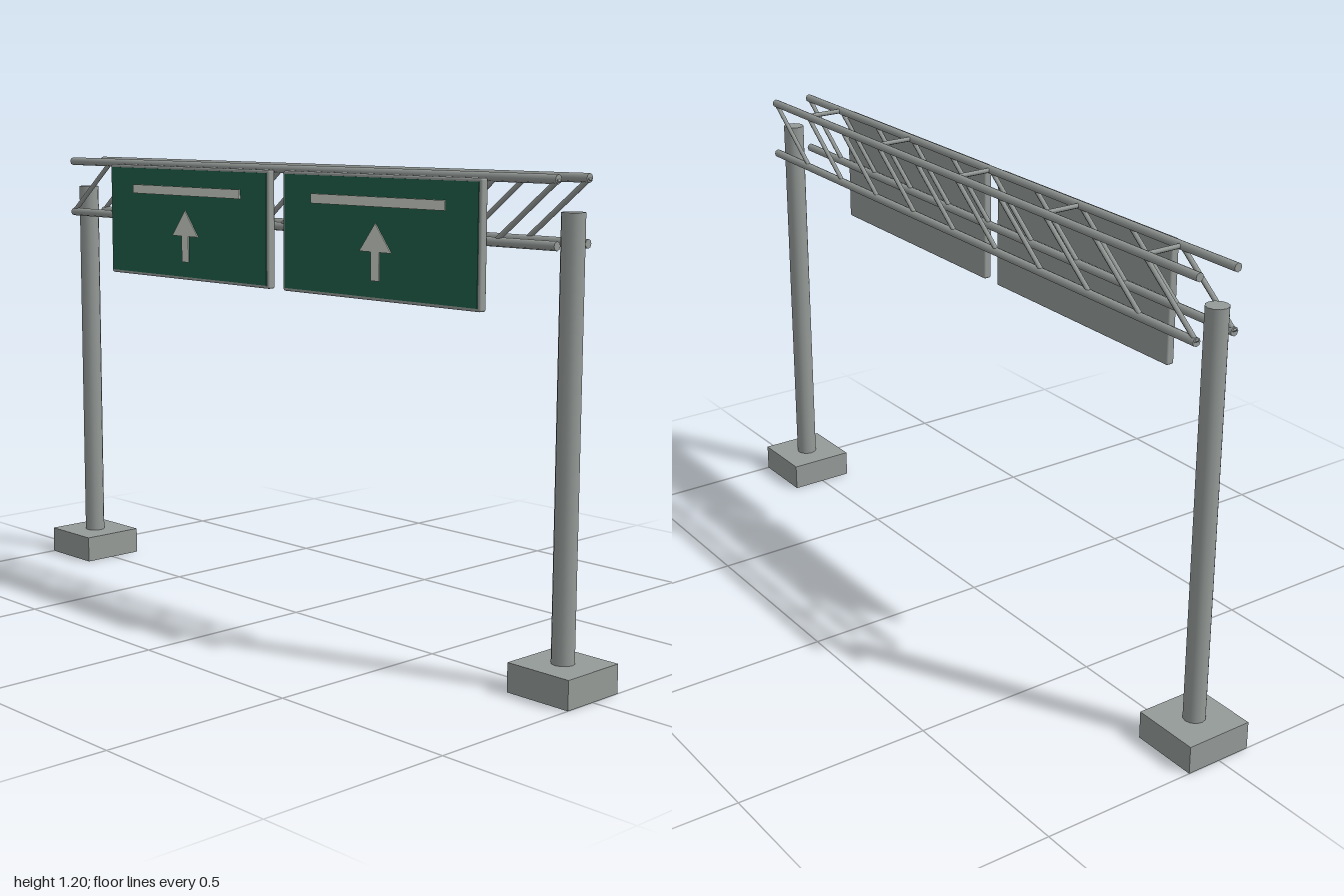
import * as THREE from 'three';
import { RoundedBoxGeometry } from 'three/addons/geometries/RoundedBoxGeometry.js';

const material = (name, color, flatShading = false) => {
  const m = new THREE.MeshStandardMaterial({ color, flatShading });
  m.name = name;
  return m;
};

export function createModel() {
  const steel = material('steelGrey', 0x959b98);
  const green = material('signGreen', 0x20614a);
  const white = material('markingWhite', 0xcfd3ca);

  const model = new THREE.Group();
  model.name = 'signGantry';

  const add = (parent, name, geometry, mat, x = 0, y = 0, z = 0) => {
    const mesh = new THREE.Mesh(geometry, mat);
    mesh.name = name;
    mesh.position.set(x, y, z);
    parent.add(mesh);
    return mesh;
  };

  // Round bar between two points
  const bar = (parent, name, a, b, radius, sides) => {
    const from = new THREE.Vector3(...a), to = new THREE.Vector3(...b);
    const dir = to.clone().sub(from);
    const mesh = add(parent, name, new THREE.CylinderGeometry(radius, radius, dir.length(), sides), steel);
    mesh.position.copy(from).add(to).multiplyScalar(0.5);
    mesh.quaternion.setFromUnitVectors(new THREE.Vector3(0, 1, 0), dir.normalize());
  };

  const half = 0.91, midZ = -0.002;

  // Footings and posts
  for (const side of [-1, 1]) {
    const support = new THREE.Group();
    support.name = side > 0 ? 'leftSupport' : 'rightSupport';
    add(support, 'footing', new THREE.BoxGeometry(0.18, 0.072, 0.18), steel, side * half, 0.036, midZ);
    add(support, 'post', new THREE.CylinderGeometry(0.028, 0.028, 1.04, 12), steel, side * half, 0.59, midZ);
    model.add(support);
  }

  // Truss: four chords, parallel diagonals on both faces, cross bars on top
  const truss = new THREE.Group();
  truss.name = 'truss';
  model.add(truss);
  const top = 1.184, bottom = 1.037, depth = 0.0545, panels = 10, step = 2 * half / panels;
  for (const side of [-1, 1]) {
    const z = midZ + side * depth;
    for (const y of [bottom, top]) bar(truss, 'chord', [-half, y, z], [half, y, z], 0.011, 8);
    for (let i = 0; i < panels; i++) {
      const x = -half + i * step;
      bar(truss, 'diagonal', [x, bottom, z], [x + step, top, z], 0.0065, 6);
    }
  }
  for (let i = 1; i < panels; i += 2) {
    const x = -half + i * step;
    bar(truss, 'crossBar', [x, top, midZ - depth], [x, top, midZ + depth], 0.0065, 6);
  }

  // Upward arrow outline, centred on x = 0
  const arrow = new THREE.Shape([
    [-0.014, 0.925], [0.014, 0.925], [0.014, 0.995], [0.054, 0.995],
    [0, 1.064], [-0.054, 0.995], [-0.014, 0.995],
  ].map(([x, y]) => new THREE.Vector2(x, y)));

  // Sign boards with painted face, bar and arrow
  for (const x of [-0.345, 0.381]) {
    const sign = new THREE.Group();
    sign.name = x > 0 ? 'leftSign' : 'rightSign';
    sign.position.x = x;
    add(sign, 'backing', new RoundedBoxGeometry(0.672, 0.305, 0.022, 2, 0.005), steel, 0, 1.029, 0.076);
    add(sign, 'face', new THREE.BoxGeometry(0.656, 0.289, 0.004), green, 0, 1.029, 0.087);
    add(sign, 'titleBar', new THREE.BoxGeometry(0.454, 0.024, 0.005), white, 0, 1.116, 0.0905);
    add(sign, 'arrow', new THREE.ExtrudeGeometry(arrow, { depth: 0.004, bevelEnabled: false }), white, 0, 0, 0.088);
    model.add(sign);
  }

  return model;
}
